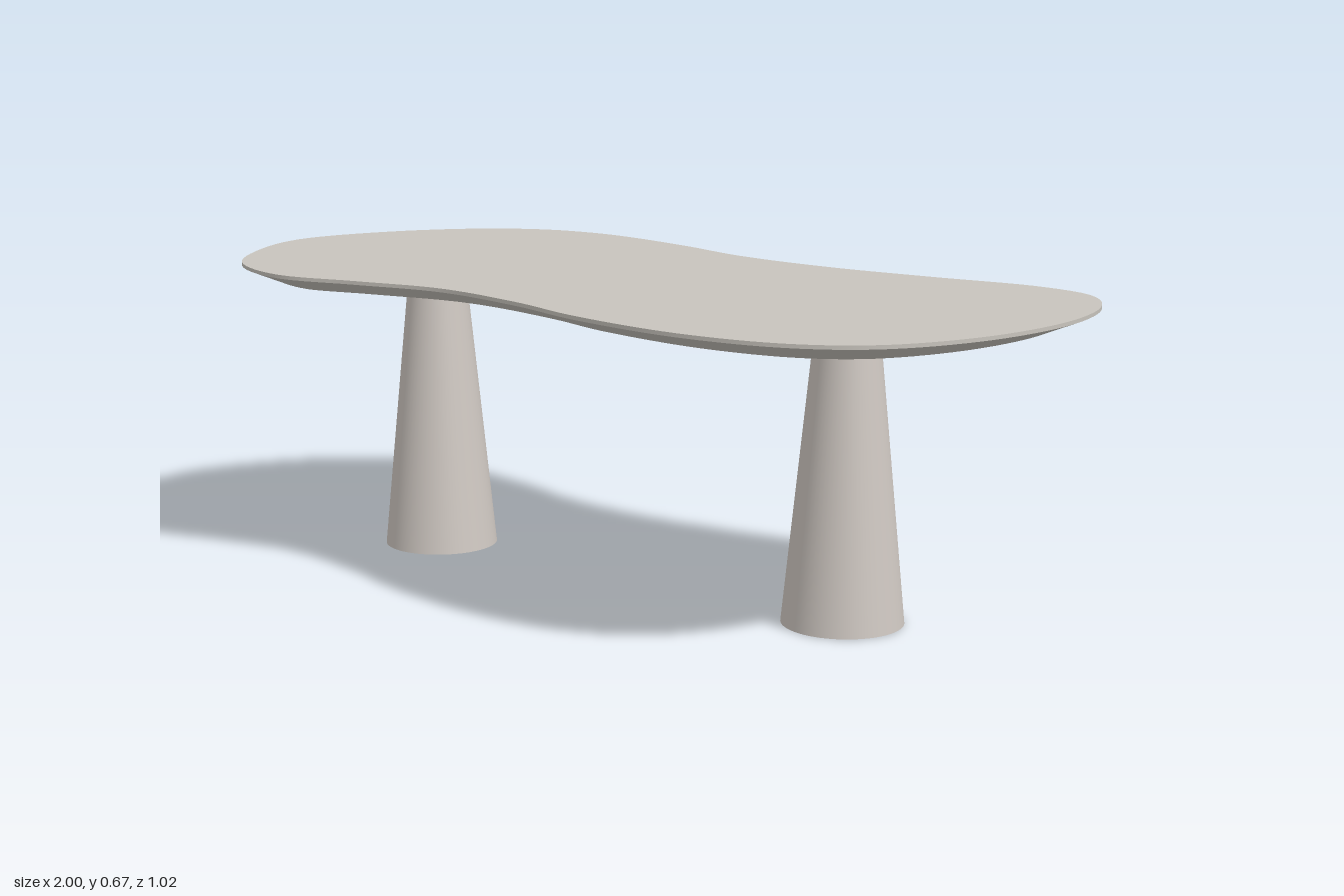
import * as THREE from 'three';

const OUTLINE = [
  [-1, 0], [-0.93, 0.22], [-0.82, 0.36], [-0.64, 0.43], [-0.45, 0.397], [-0.24, 0.364],
  [0, 0.405], [0.2, 0.467], [0.48, 0.505], [0.7, 0.473], [0.84, 0.385], [0.95, 0.2],
  [1, -0.05], [0.97, -0.25], [0.89, -0.365], [0.75, -0.405], [0.5, -0.386], [0.25, -0.375],
  [0, -0.4], [-0.2, -0.46], [-0.4, -0.503], [-0.51, -0.51], [-0.64, -0.488], [-0.78, -0.405], [-0.92, -0.23],
];
const STEPS = 160;

// Closed loop of points following the outline, moved inward by inset
function makeLoop(curve, inset, y) {
  return Array.from({ length: STEPS }, (_, i) => {
    const p = curve.getPointAt(i / STEPS);
    const t = curve.getTangentAt(i / STEPS);
    return [p.x + t.z * inset, y, p.z - t.x * inset];
  });
}

function buildGeometry(points, index) {
  const geometry = new THREE.BufferGeometry();
  geometry.setAttribute('position', new THREE.Float32BufferAttribute(points.flat(), 3));
  geometry.setIndex(index);
  geometry.computeVertexNormals();
  return geometry;
}

// Wall between two loops, smooth around the outline
function band(lower, upper) {
  const index = [];
  for (let i = 0; i < STEPS; i++) {
    const j = (i + 1) % STEPS;
    index.push(i, j, j + STEPS, i, j + STEPS, i + STEPS);
  }
  return buildGeometry([...lower, ...upper], index);
}

// Flat face filling a loop
function cap(loop, up) {
  const index = [];
  for (let i = 0; i < STEPS; i++) {
    const j = (i + 1) % STEPS;
    index.push(STEPS, up ? i : j, up ? j : i);
  }
  return buildGeometry([...loop, [0, loop[0][1], 0]], index);
}

export function createModel() {
  const group = new THREE.Group();
  const topMaterial = new THREE.MeshStandardMaterial({ color: 0xc8c4bd });
  topMaterial.name = 'warm grey top';
  const legMaterial = new THREE.MeshStandardMaterial({ color: 0xcfc8c2 });
  legMaterial.name = 'pale stone legs';

  const add = (parent, name, geometry, material) => {
    const mesh = new THREE.Mesh(geometry, material);
    mesh.name = name;
    parent.add(mesh);
    return mesh;
  };

  // Curvy tabletop: thin upright rim above a wide undercut bevel
  const curve = new THREE.CatmullRomCurve3(
    OUTLINE.map(([x, z]) => new THREE.Vector3(x, 0, z)), true, 'centripetal');
  curve.arcLengthDivisions = 1000;
  const bottom = makeLoop(curve, 0.078, 0.628);
  const rim = makeLoop(curve, 0, 0.66);
  const top = makeLoop(curve, 0, 0.668);
  const tabletop = new THREE.Group();
  tabletop.name = 'tabletop';
  group.add(tabletop);
  add(tabletop, 'topSurface', cap(top, true), topMaterial);
  add(tabletop, 'rimEdge', band(rim, top), topMaterial);
  add(tabletop, 'underBevel', band(bottom, rim), topMaterial);
  add(tabletop, 'underside', cap(bottom, false), topMaterial);

  // Two tapered round legs
  for (const [name, x] of [['rightLeg', -0.557], ['leftLeg', 0.538]]) {
    const leg = add(group, name, new THREE.CylinderGeometry(0.065, 0.128, 0.629, 64), legMaterial);
    leg.position.set(x, 0.3145, 0.008);
  }
  return group;
}
